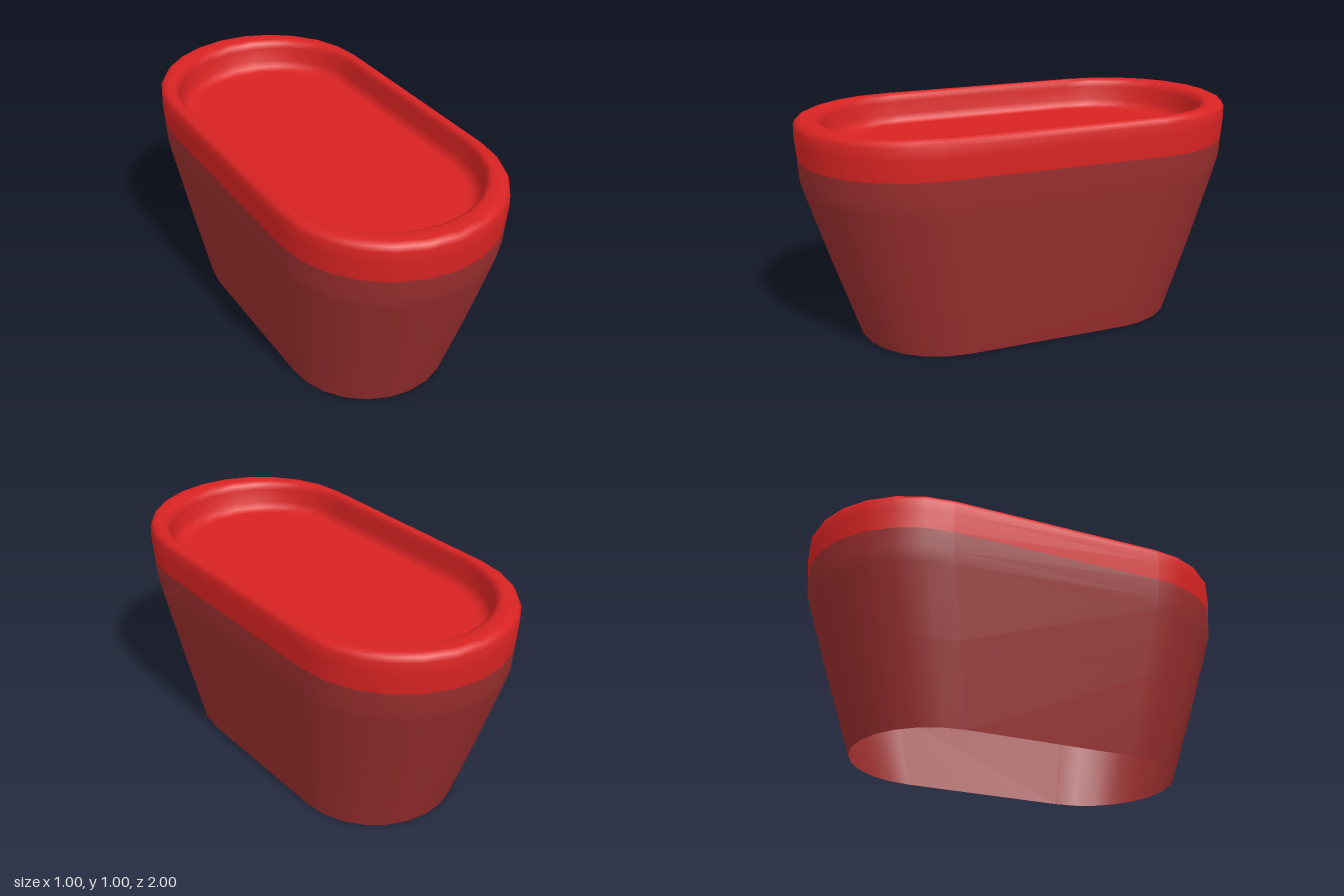
import * as THREE from 'three';

const ARC = 12; // segments per rounded end

// Unit plan outline: straight sides with a rounded end front and back
function outline() {
  const pts = [];
  for (const end of [1, -1]) {
    for (let i = 0; i <= ARC; i++) {
      const a = (i / ARC) * Math.PI;
      pts.push([end * Math.cos(a), end * (0.5 + 0.5 * Math.sin(a))]);
    }
  }
  return pts;
}

// Loft the outline through rings of [half width, half length, height]
function loft(rings) {
  const plan = outline();
  const n = plan.length;
  const pos = [];
  const index = [];
  for (const [hx, hz, y] of rings) {
    for (const [x, z] of plan) pos.push(x * hx, y, z * hz);
  }
  for (let i = 0; i < rings.length - 1; i++) {
    for (let j = 0; j < n; j++) {
      const a = i * n + j;
      const b = i * n + ((j + 1) % n);
      index.push(a, a + n, b, b, a + n, b + n);
    }
  }
  const geo = new THREE.BufferGeometry();
  geo.setAttribute('position', new THREE.Float32BufferAttribute(pos, 3));
  geo.setIndex(index);
  geo.computeVertexNormals();
  return geo;
}

export function createModel() {
  const group = new THREE.Group();
  group.name = 'planterTub';

  const red = new THREE.MeshStandardMaterial({ color: 0xd92323, side: THREE.DoubleSide });
  red.name = 'bright red';
  const darkRed = new THREE.MeshStandardMaterial({ color: 0x9a2e2e, side: THREE.DoubleSide });
  darkRed.name = 'dark red';

  // Flared wall, open underneath
  const body = new THREE.Mesh(loft([
    [0.375, 0.75, 0],
    [0.435, 0.87, 0.36],
    [0.485, 0.97, 0.68],
    [0.493, 0.987, 0.74],
    [0.496, 0.992, 0.83],
  ]), darkRed);
  body.name = 'body';

  // Band, rounded lip and sunken top
  const rim = new THREE.Mesh(loft([
    [0.496, 0.992, 0.83],
    [0.5, 1, 0.92],
    [0.499, 0.998, 0.97],
    [0.49, 0.988, 0.99],
    [0.468, 0.966, 1],
    [0.452, 0.91, 0.998],
    [0.443, 0.888, 0.985],
    [0.44, 0.88, 0.96],
    [0.435, 0.87, 0.9],
    [0.426, 0.852, 0.873],
    [0.41, 0.825, 0.86],
    [0.395, 0.8, 0.86],
    [0, 0.4, 0.86],
  ]), red);
  rim.name = 'rimAndTray';

  // Close the remaining tray ends with a flat floor just below the loft
  const floorShape = new THREE.Shape(outline().map(([x, z]) => new THREE.Vector2(x * 0.41, z * 0.825)));
  const floor = new THREE.Mesh(new THREE.ShapeGeometry(floorShape).rotateX(-Math.PI / 2), red);
  floor.position.y = 0.859;
  floor.name = 'trayFloor';

  group.add(body, rim, floor);
  return group;
}
